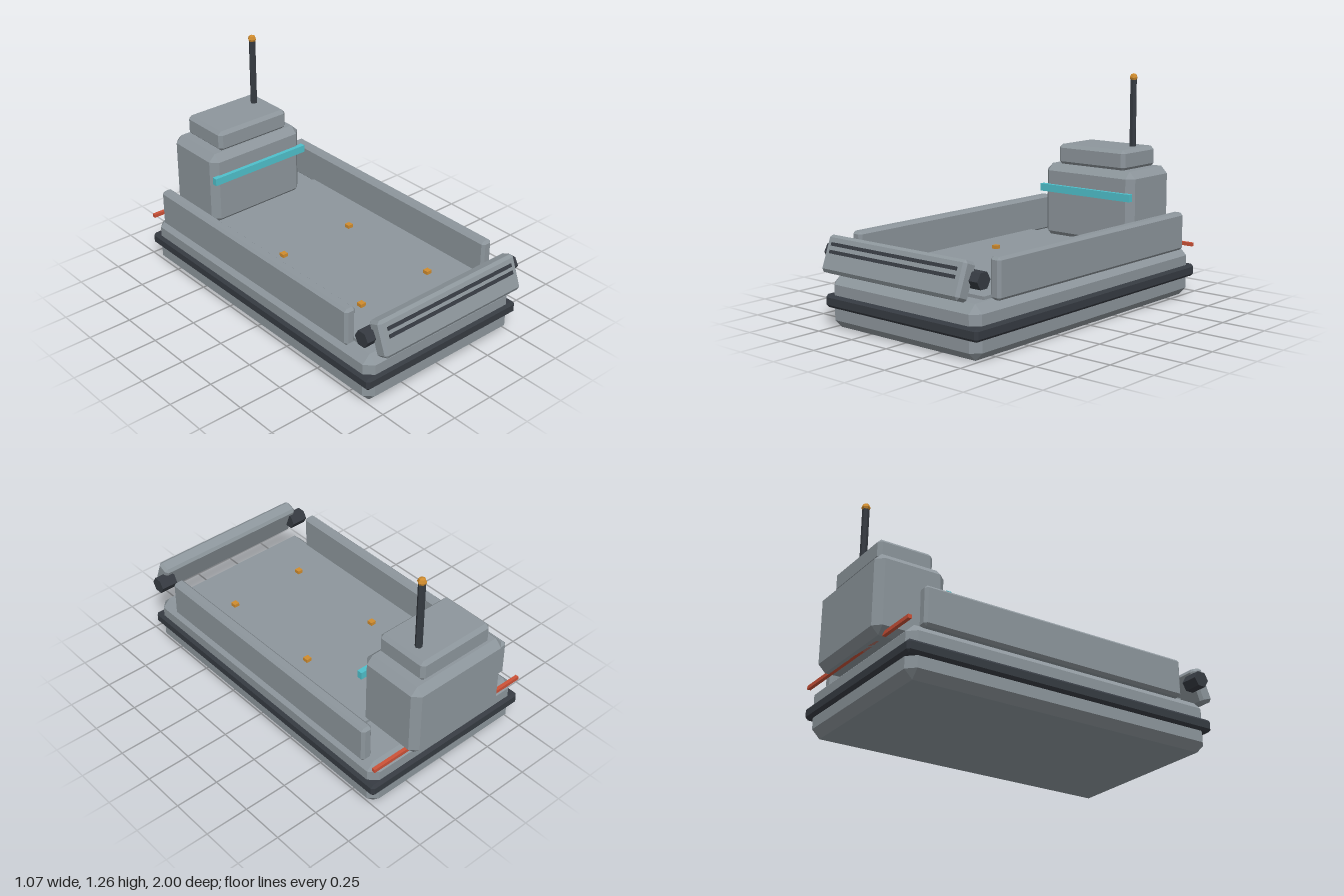
import * as THREE from 'three';
import { ConvexGeometry } from 'three/addons/geometries/ConvexGeometry.js';

const mat = (name, color) => {
  const m = new THREE.MeshStandardMaterial({ color, flatShading: true });
  m.name = name;
  return m;
};

// Box with every edge cut at 45 degrees
function chamferBox(w, h, d, c) {
  const [x, y, z] = [w / 2, h / 2, d / 2];
  const points = [];
  for (const sx of [-1, 1]) for (const sy of [-1, 1]) for (const sz of [-1, 1]) {
    points.push(
      new THREE.Vector3(sx * x, sy * (y - c), sz * (z - c)),
      new THREE.Vector3(sx * (x - c), sy * y, sz * (z - c)),
      new THREE.Vector3(sx * (x - c), sy * (y - c), sz * z));
  }
  return new ConvexGeometry(points);
}

export function createModel() {
  const model = new THREE.Group();
  model.name = 'landingCraft';
  const grey = mat('hullGrey', 0x8d969c);
  const dark = mat('rubberDark', 0x363b42);
  const cyan = mat('windowCyan', 0x4fc0cb);
  const amber = mat('lampAmber', 0xd08c2e);
  const red = mat('sternRed', 0xcc5238);

  const add = (name, geometry, material, x, y, z, parent = model) => {
    const mesh = new THREE.Mesh(geometry, material);
    mesh.name = name;
    mesh.position.set(x, y, z);
    parent.add(mesh);
    return mesh;
  };
  const box = (w, h, d) => new THREE.BoxGeometry(w, h, d);

  // Hull, fender belt and cargo deck
  add('hull', chamferBox(1.034, 0.28, 1.83, 0.045), grey, 0, 0.14, -0.005);
  add('fenderBelt', chamferBox(1.07, 0.07, 1.865, 0.015), dark, 0, 0.143, -0.007);
  add('deck', box(0.91, 0.03, 1.435), grey, 0, 0.282, 0.067);

  // Side walls and ramp hinges
  for (const s of [-1, 1]) {
    add('sideWall', chamferBox(0.066, 0.215, 1.585, 0.015), grey, s * 0.485, 0.381, -0.05);
    const hinge = add('rampHinge', new THREE.CylinderGeometry(0.047, 0.047, 0.1, 6), dark, s * 0.485, 0.402, 0.872);
    hinge.rotation.z = Math.PI / 2;
  }

  // Tilted bow ramp with two grip strips
  const ramp = new THREE.Group();
  ramp.name = 'bowRamp';
  ramp.position.set(0, 0.4, 0.927);
  ramp.rotation.x = -0.36;
  model.add(ramp);
  add('rampPanel', chamferBox(0.96, 0.197, 0.086, 0.016), grey, 0, 0, 0, ramp);
  for (const y of [0.048, 0.008]) add('rampGrip', box(0.875, 0.018, 0.012), dark, 0, y, 0.044, ramp);

  // Wheelhouse, roof block and window band
  add('wheelhouse', chamferBox(0.635, 0.44, 0.395, 0.04), grey, 0, 0.5, -0.8025);
  add('roofBlock', chamferBox(0.476, 0.12, 0.316, 0.02), grey, 0, 0.776, -0.798);
  add('windowBand', box(0.642, 0.043, 0.03), cyan, 0, 0.579, -0.596);

  // Mast with lamp
  const mast = add('mast', new THREE.CylinderGeometry(0.02, 0.02, 0.4, 6), dark, 0.157, 1.025, -0.84);
  mast.rotation.y = Math.PI / 2;
  add('mastLamp', new THREE.SphereGeometry(0.025, 6, 4), amber, 0.157, 1.234, -0.84);

  // Deck lamps
  for (const x of [-0.238, 0.238]) for (const z of [-0.09, 0.545])
    add('deckLamp', box(0.032, 0.022, 0.032), amber, x, 0.306, z);

  // Stern strip
  add('sternStrip', box(1.05, 0.02, 0.02), red, 0, 0.29, -0.929);

  return model;
}
